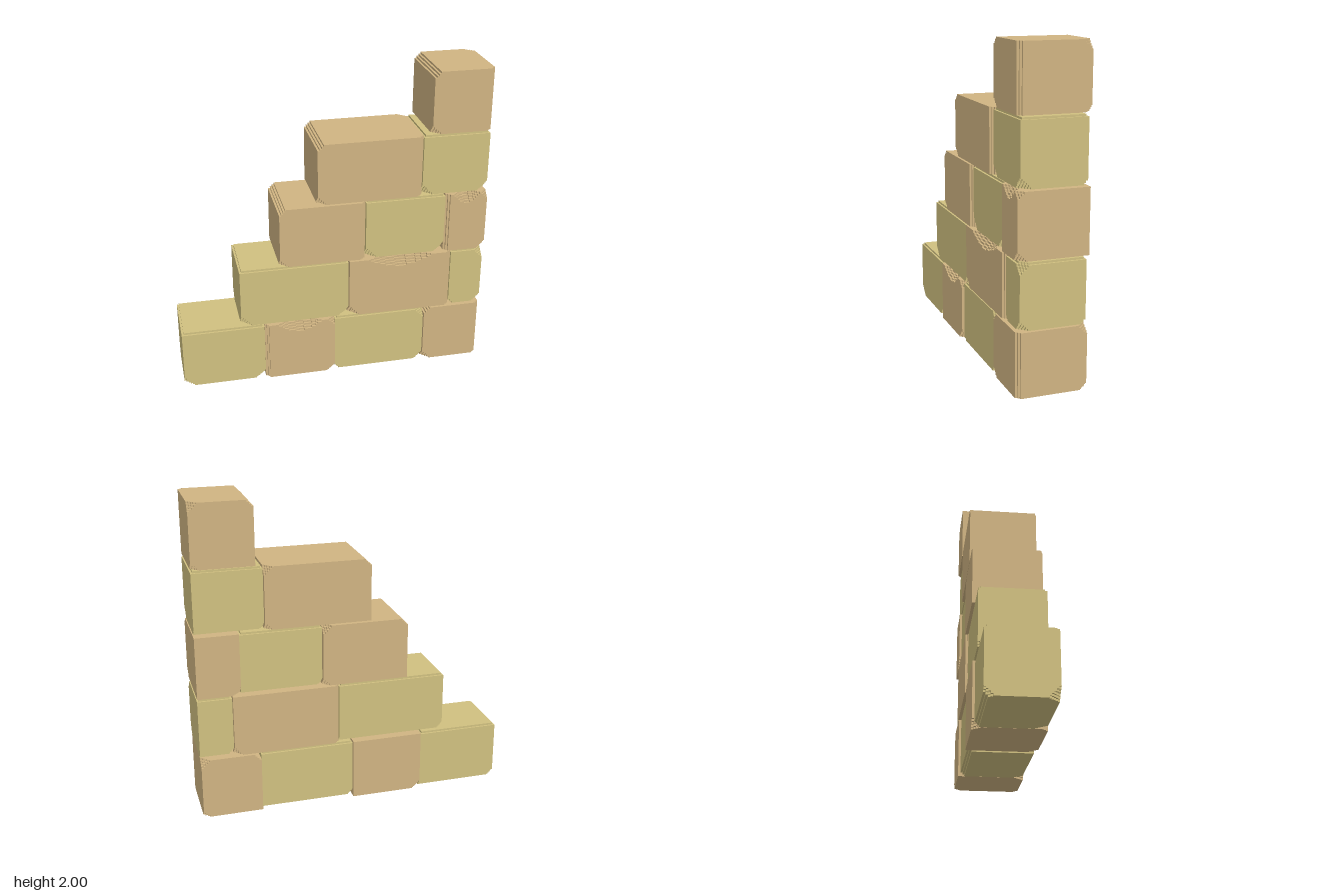
import * as THREE from 'three';

const UNIT = 0.0125; // size of one chipped step
const TAN = { color: 0xd0b482, depth: 0.43 };
const SAND = { color: 0xd0c080, depth: 0.4 };

// Grid lines along one axis: fine near both ends, and throughout if asked
function gridLines(min, max, fineAll) {
  const lines = [];
  const n = fineAll ? Math.round((max - min) / UNIT) : 6;
  if (fineAll) {
    for (let i = 0; i <= n; i++) lines.push(min + (max - min) * i / n);
  } else {
    for (let i = 0; i <= n; i++) lines.push(min + i * UNIT);
    for (let i = n; i >= 0; i--) lines.push(max - i * UNIT);
  }
  return lines;
}

// Stone block whose edges and corners are worn away in small steps.
// Each chip names the faces that meet there: l r b t k(back) f(front).
function blockGeometry(min, max, chips, scoop) {
  const lines = [0, 1, 2].map(a => gridLines(min[a], max[a], a === 0 && scoop));
  const count = lines.map(l => l.length - 1);
  const mid = (a, i) => (lines[a][i] + lines[a][i + 1]) / 2;

  const solid = (c) => {
    if (c.some((v, a) => v < 0 || v >= count[a])) return false;
    const p = c.map((v, a) => mid(a, v));
    const d = {
      l: p[0] - min[0], r: max[0] - p[0], b: p[1] - min[1],
      t: max[1] - p[1], k: p[2] - min[2], f: max[2] - p[2],
    };
    for (const [faces, size] of chips) {
      let sum = 0;
      for (const face of faces) sum += d[face];
      if (sum < size) return false;
    }
    if (scoop) {
      const u = (p[0] - (min[0] + max[0]) / 2) / ((max[0] - min[0]) * 0.32);
      if (d.t + d.f + u * u * 0.06 < 0.064) return false;
    }
    return true;
  };

  const pos = [];
  const c = [0, 0, 0];
  for (c[0] = 0; c[0] < count[0]; c[0]++)
    for (c[1] = 0; c[1] < count[1]; c[1]++)
      for (c[2] = 0; c[2] < count[2]; c[2]++) {
        if (!solid(c)) continue;
        for (let a = 0; a < 3; a++) {
          for (const side of [0, 1]) {
            const next = c.slice();
            next[a] += side ? 1 : -1;
            if (solid(next)) continue;
            const b = (a + 1) % 3, e = (a + 2) % 3;
            const quad = [[0, 0], [1, 0], [1, 1], [0, 1]].map(([u, v]) => {
              const q = [];
              q[a] = lines[a][c[a] + side];
              q[b] = lines[b][c[b] + u];
              q[e] = lines[e][c[e] + v];
              return q;
            });
            if (!side) quad.reverse();
            for (const i of [0, 1, 2, 0, 2, 3]) pos.push(...quad[i]);
          }
        }
      }
  const g = new THREE.BufferGeometry();
  g.setAttribute('position', new THREE.Float32BufferAttribute(pos, 3));
  g.computeVertexNormals();
  return g;
}

// Wear patterns
const tanChips = [['rf', 0.03], ['tl', 0.045], ['lbf', 0.065], ['rtk', 0.065], ['rbk', 0.055]];
const tanTurned = [['lf', 0.03], ['rbf', 0.065], ['lbk', 0.065], ['rtf', 0.05]];
const tanDouble = [['rf', 0.03], ['lk', 0.03], ['lbf', 0.08], ['rbk', 0.065]];
const rim = [['tl', 0.015], ['tr', 0.015], ['tf', 0.015], ['tk', 0.015], ['bk', 0.03]];
const sandChips = [...rim, ['lbf', 0.08], ['rbf', 0.08], ['lbk', 0.065]];
const sandTurned = [...rim, ['bl', 0.03], ['rtf', 0.08], ['rbf', 0.065], ['lbk', 0.065]];

// Courses from bottom to top: [left, right, stone, chips, scooped top edge]
const courses = [
  [[-0.985, -0.458, SAND, sandChips], [-0.456, 0, TAN, tanTurned, true],
    [0.002, 0.598, SAND, sandTurned], [0.6, 0.977, TAN, tanChips]],
  [[-0.605, 0.09, SAND, sandChips], [0.094, 0.765, TAN, tanDouble, true],
    [0.767, 0.98, SAND, sandTurned]],
  [[-0.35, 0.195, TAN, tanChips], [0.2, 0.71, SAND, sandChips],
    [0.712, 0.98, TAN, tanTurned, true]],
  [[-0.11, 0.552, TAN, tanChips], [0.555, 0.977, SAND, sandChips]],
  [[0.6, 0.977, TAN, tanChips]],
];

export function createModel() {
  const model = new THREE.Group();
  model.name = 'steppedStoneWall';
  const materials = new Map([TAN, SAND].map(s =>
    [s, new THREE.MeshStandardMaterial({ color: s.color, flatShading: true })]));

  courses.forEach((blocks, row) => {
    const course = new THREE.Group();
    course.name = `course${row + 1}`;
    const y0 = row * 0.402, y1 = y0 + 0.392;
    blocks.forEach(([x0, x1, stone, chips, scoop], i) => {
      const z = stone.depth / 2;
      const geometry = blockGeometry([x0, y0, -z], [x1, y1, z], chips, !!scoop);
      const block = new THREE.Mesh(geometry, materials.get(stone));
      block.name = `${stone === TAN ? 'tan' : 'sand'}Block${i + 1}`;
      course.add(block);
    });
    model.add(course);
  });
  return model;
}
